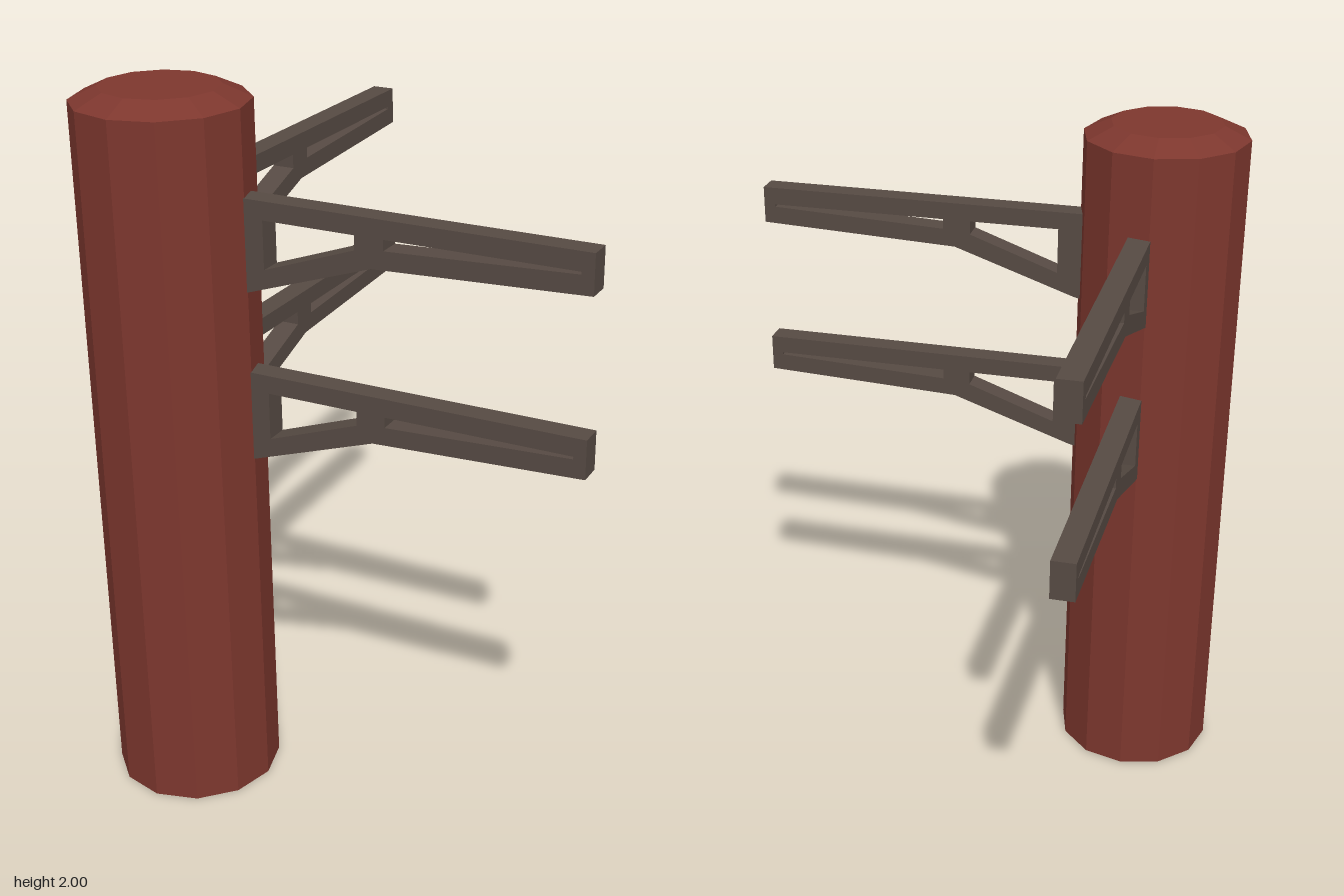
import * as THREE from 'three';

export function createModel() {
  const model = new THREE.Group();
  model.name = 'postWithBrackets';

  const red = new THREE.MeshStandardMaterial({ color: 0x7d372e, flatShading: true, side: THREE.DoubleSide });
  red.name = 'red post';
  const brown = new THREE.MeshStandardMaterial({ color: 0x564a43, flatShading: true });
  brown.name = 'brown bracket';

  // Everything is placed around the post axis
  const centre = new THREE.Group();
  centre.name = 'postAssembly';
  centre.position.set(-0.467, 0, 0.467);
  model.add(centre);

  // Twelve-sided hollow post with a bevelled, closed top
  const profile = [[0.232, 0], [0.232, 1.965], [0.157, 2], [0, 2]];
  const post = new THREE.Mesh(
    new THREE.LatheGeometry(profile.map(([r, y]) => new THREE.Vector2(r, y)), 12), red);
  post.name = 'post';
  centre.add(post);

  // Bracket side outline, x outward from the post axis, y from the beam top
  const points = (list) => list.map(([x, y]) => new THREE.Vector2(x, y));
  const outline = new THREE.Shape(points([
    [0.212, 0], [0.212, -0.254], [0.232, -0.25], [0.587, -0.13], [1.165, -0.106], [1.165, 0],
  ]));
  const openings = [
    [[0.284, -0.05], [0.542, -0.05], [0.542, -0.089], [0.284, -0.181]],
    [[0.622, -0.05], [1.132, -0.05], [1.132, -0.057], [0.622, -0.079]],
  ];
  outline.holes = openings.map((o) => new THREE.Path(points(o)));
  const depth = 0.064;
  const bracketGeometry = new THREE.ExtrudeGeometry(outline, { depth, bevelEnabled: false });

  // Two brackets to the left side and two to the back
  for (const y of [1.738, 1.266]) {
    for (const [name, angle, offset] of [['leftBracket', 0, -0.061], ['backBracket', Math.PI / 2, -0.003]]) {
      const arm = new THREE.Group();
      arm.name = name;
      arm.rotation.y = angle;
      const bracket = new THREE.Mesh(bracketGeometry, brown);
      bracket.name = name + 'Frame';
      bracket.position.set(0, y, offset);
      arm.add(bracket);
      centre.add(arm);
    }
  }
  return model;
}
